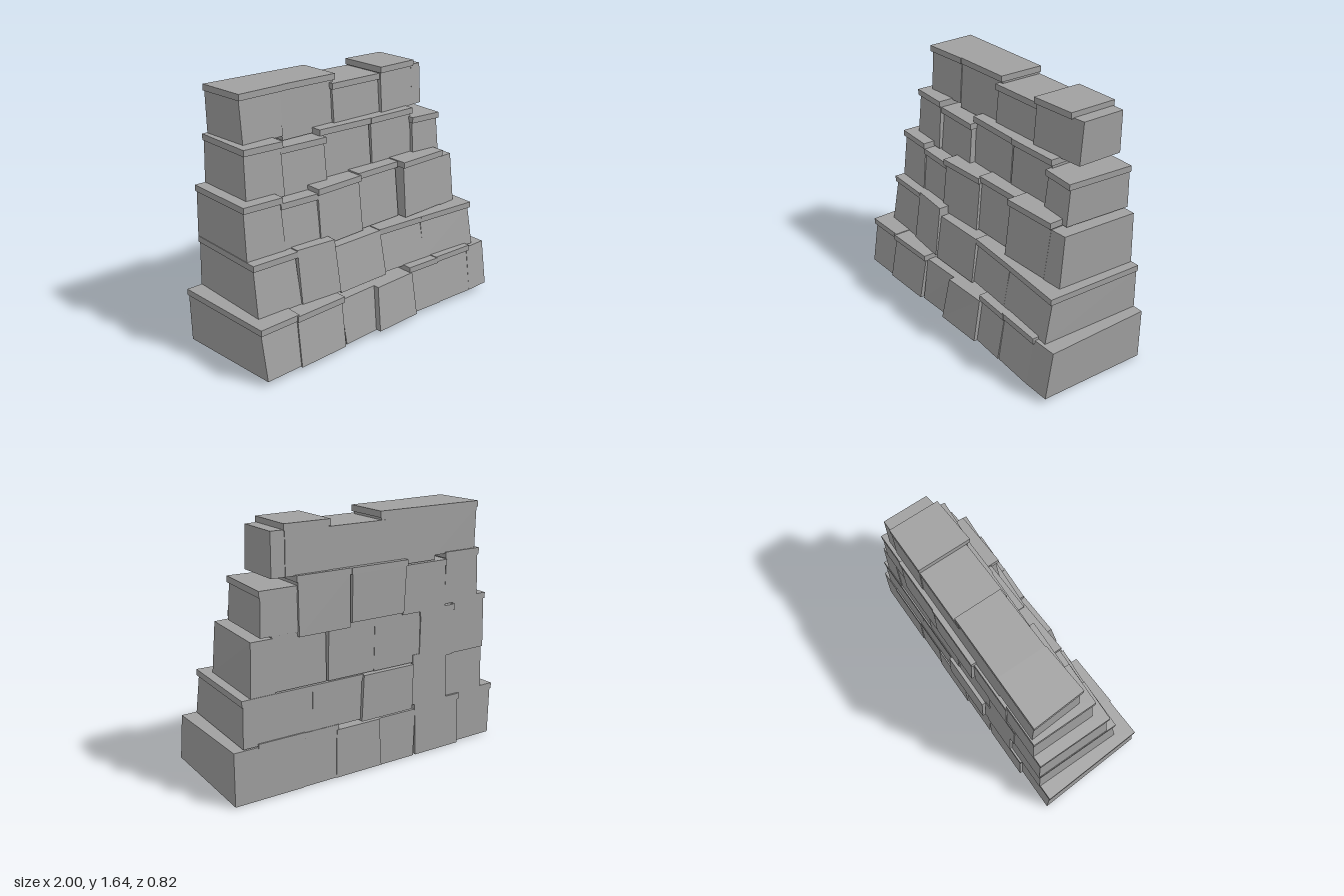
import * as THREE from 'three';

// Each stone: [left, right at the foot, left, right at the top, y foot, y top,
//              front z at left, front z at right, back z, has a cap slab (1/0)]
const course1 = [
  [-0.955, -0.70, -0.96, -0.69, 0.035, 0.365, 0.405, 0.395, -0.36, 1],
  [-0.70, -0.34, -0.69, -0.33, 0.03, 0.36, 0.405, 0.39, -0.38, 1],
  [-0.32, -0.055, -0.33, -0.03, 0.03, 0.325, 0.375, 0.36, -0.38, 0],
  [-0.055, 0.29, -0.035, 0.285, 0.035, 0.325, 0.40, 0.385, -0.39, 0],
  [0.285, 0.525, 0.28, 0.525, 0.035, 0.36, 0.36, 0.37, -0.385, 1],
  [0.53, 0.82, 0.525, 0.825, 0.035, 0.365, 0.365, 0.375, -0.39, 1],
  [0.82, 0.995, 0.825, 0.995, 0.035, 0.345, 0.375, 0.37, -0.39, 0],
];
const course2 = [
  [-0.90, -0.58, -0.89, -0.585, 0.355, 0.695, 0.25, 0.255, -0.37, 1],
  [-0.58, -0.29, -0.575, -0.30, 0.36, 0.70, 0.265, 0.285, -0.385, 0],
  [-0.285, 0.11, -0.29, 0.095, 0.345, 0.645, 0.28, 0.27, -0.405, 0],
  [0.11, 0.46, 0.10, 0.455, 0.355, 0.65, 0.255, 0.275, -0.385, 1],
  [0.455, 0.90, 0.46, 0.895, 0.35, 0.65, 0.275, 0.305, -0.385, 1],
];
const course3 = [
  [-0.895, -0.615, -0.885, -0.625, 0.655, 1.03, 0.15, 0.16, -0.38, 1],
  [-0.62, -0.35, -0.62, -0.355, 0.65, 0.99, 0.155, 0.165, -0.385, 1],
  [-0.355, 0.005, -0.35, 0.0, 0.65, 1.02, 0.175, 0.155, -0.38, 1],
  [0.01, 0.345, 0.005, 0.34, 0.655, 1.03, 0.14, 0.13, -0.385, 1],
  [0.355, 0.71, 0.36, 0.725, 0.655, 1.035, 0.19, 0.17, -0.38, 1],
  [0.71, 0.845, 0.72, 0.835, 0.65, 0.985, 0.17, 0.16, -0.385, 0],
];
const course4 = [
  [-0.82, -0.545, -0.81, -0.55, 1.0, 1.34, 0.055, 0.065, -0.385, 1],
  [-0.545, -0.205, -0.54, -0.21, 0.98, 1.295, 0.045, 0.055, -0.39, 1],
  [-0.20, 0.19, -0.215, 0.185, 1.0, 1.335, 0.015, 0.025, -0.41, 1],
  [0.20, 0.555, 0.20, 0.56, 0.97, 1.335, 0.03, 0.025, -0.405, 1],
  [0.55, 0.775, 0.555, 0.77, 1.0, 1.275, 0.05, 0.065, -0.39, 1],
];
const course5 = [
  [-0.765, -0.46, -0.77, -0.46, 1.33, 1.645, -0.035, -0.055, -0.38, 1],
  [-0.46, -0.06, -0.46, -0.04, 1.30, 1.645, -0.06, -0.07, -0.38, 1],
  [-0.06, 0.335, -0.06, 0.335, 1.325, 1.59, -0.05, -0.06, -0.38, 1],
  [0.335, 0.63, 0.335, 0.63, 1.33, 1.635, -0.035, -0.055, -0.385, 1],
  [0.63, 0.72, 0.63, 0.72, 1.33, 1.60, -0.055, -0.065, -0.38, 0],
];

// Course data with the backward lean of its face and how far its ends flare at the back
const courses = [
  { name: 'bottomCourse', stones: course1, lean: 0.05, flareL: 0.04, flareR: 0, tilt: 0.03 },
  { name: 'secondCourse', stones: course2, lean: 0.05, flareL: 0, flareR: 0.03, tilt: 0 },
  { name: 'middleCourse', stones: course3, lean: 0.035, flareL: 0, flareR: 0.03, tilt: 0 },
  { name: 'fourthCourse', stones: course4, lean: 0.025, flareL: 0, flareR: 0.03, tilt: 0 },
  { name: 'topCourse', stones: course5, lean: 0.02, flareL: 0.02, flareR: 0, tilt: 0 },
];

// Box whose corners are placed by a rule: (right?, top?, front?) -> [x, y, z]
function hewnBox(rule) {
  const box = new THREE.BoxGeometry(1, 1, 1);
  const p = box.attributes.position;
  for (let i = 0; i < p.count; i++) {
    p.setXYZ(i, ...rule(p.getX(i) > 0, p.getY(i) > 0, p.getZ(i) > 0));
  }
  const geometry = box.toNonIndexed();
  geometry.computeVertexNormals();
  return geometry;
}

export function createModel() {
  const stoneGrey = new THREE.MeshStandardMaterial({ color: 0xa0a0a0 });
  const wall = new THREE.Group();
  wall.name = 'stoneWall';
  const capHeight = 0.04;

  for (const { name, stones, lean, flareL, flareR, tilt } of courses) {
    const course = new THREE.Group();
    course.name = name;
    stones.forEach(([l0, r0, l1, r1, y0, y1, zl, zr, zb, cap], i) => {
      const bodyTop = cap ? y1 - capHeight : y1;
      const flare = (right) =>
        right ? (i === stones.length - 1 ? flareR : 0) : (i === 0 ? -flareL : 0);

      // Tapered stone body
      const body = new THREE.Mesh(hewnBox((right, top, front) => [
        (right ? (top ? r1 : r0) : (top ? l1 : l0)) + (front ? 0 : flare(right)),
        top ? bodyTop : y0 - (front ? 0 : tilt),
        front ? (right ? zr : zl) - (top ? lean : 0) : zb,
      ]), stoneGrey);
      body.name = 'stone';
      course.add(body);

      // Cap slab with a small overhang
      if (cap) {
        const slab = new THREE.Mesh(hewnBox((right, top, front) => [
          (right ? r1 + 0.008 : l1 - 0.008) + (front ? 0 : flare(right)),
          top ? y1 : bodyTop,
          front ? (right ? zr : zl) - lean + 0.016 : zb - 0.004,
        ]), stoneGrey);
        slab.name = 'capSlab';
        course.add(slab);
      }
    });
    wall.add(course);
  }
  return wall;
}
